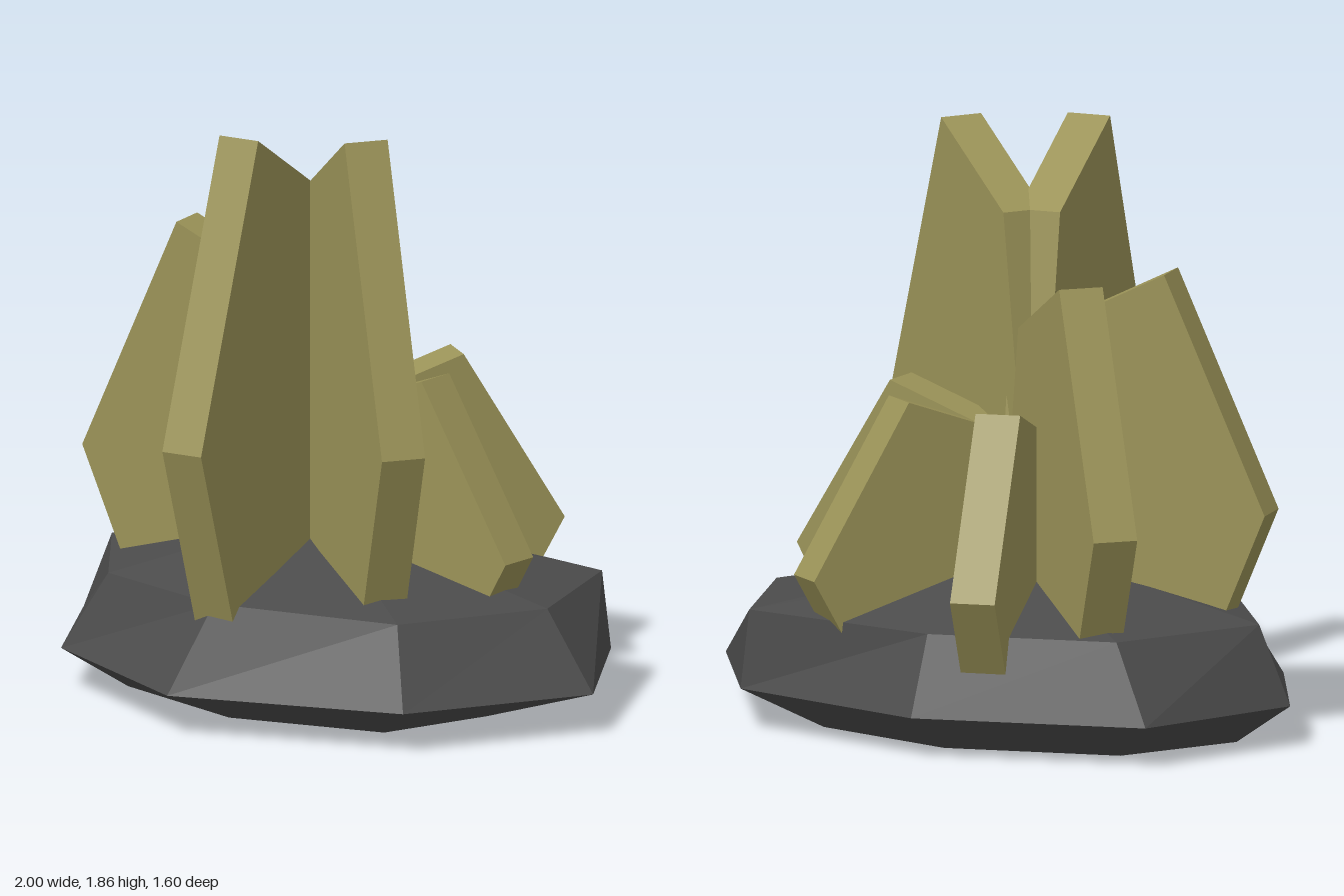
import * as THREE from 'three';

export function createModel() {
  const model = new THREE.Group();
  const stone = new THREE.MeshStandardMaterial({ color: 0x4b4b4b, flatShading: true });
  stone.name = 'dark stone';
  const olive = new THREE.MeshStandardMaterial({ color: 0x9b9358, flatShading: true });
  olive.name = 'olive crystal';

  // Rock: eight-sided cross-sections, [height, [x, z] pairs], bottom to top
  const rings = [
    [0, [[0.58, -0.02], [0.46, 0.35], [-0.05, 0.48], [-0.56, 0.33], [-0.81, -0.02], [-0.6, -0.4], [-0.05, -0.54], [0.45, -0.4]]],
    [0.13, [[1, -0.02], [0.69, 0.555], [-0.05, 0.8], [-0.71, 0.48], [-1, -0.02], [-0.78, -0.57], [-0.05, -0.76], [0.66, -0.56]]],
    [0.38, [[0.82, -0.02], [0.58, 0.44], [-0.05, 0.56], [-0.57, 0.42], [-0.89, -0.02], [-0.64, -0.5], [-0.05, -0.65], [0.64, -0.54]]],
    [0.52, [[0.15, -0.02], [0.1, 0.1], [-0.05, 0.15], [-0.2, 0.1], [-0.26, -0.02], [-0.2, -0.16], [-0.05, -0.22], [0.1, -0.16]]],
  ];
  const points = [];
  const at = (k, i) => [rings[k][1][i % 8][0], rings[k][0], rings[k][1][i % 8][1]];
  const triangle = (...corners) => corners.forEach((c) => points.push(...c));
  for (let i = 0; i < 8; i++) {
    for (let k = 0; k < 3; k++) {
      triangle(at(k, i), at(k + 1, i), at(k, i + 1));
      triangle(at(k, i + 1), at(k + 1, i), at(k + 1, i + 1));
    }
    triangle([-0.05, 0, -0.02], at(0, i), at(0, i + 1));
    triangle([-0.05, 0.52, -0.02], at(3, i + 1), at(3, i));
  }
  const rockGeometry = new THREE.BufferGeometry();
  rockGeometry.setAttribute('position', new THREE.Float32BufferAttribute(points, 3));
  rockGeometry.computeVertexNormals();
  const rock = new THREE.Mesh(rockGeometry, stone);
  rock.name = 'rockBase';
  model.add(rock);

  // Crystal slab profile: distance outward from its peak, fraction of its height
  const profile = [[0, 1], [-0.39, 0.87], [-0.5, 0.487], [-0.35, 0.08], [0.085, 0.08], [0.33, 0.487]];
  const thickness = 0.144;

  // Slabs fanning out from the middle: peak x, peak z, heading in degrees, height
  const slabs = [
    ['frontCrystal', -0.042, 0.44, 85.6, 1.855],
    ['frontLeftCrystal', 0.302, 0.235, 32, 1.855],
    ['leftCrystal', 0.38, -0.02, 0, 1.06],
    ['backLeftCrystal', 0.2, -0.37, -54, 1.06],
    ['backCrystal', -0.2, -0.463, -104, 1.06],
    ['backRightCrystal', -0.425, -0.333, -137.2, 1.46],
    ['rightCrystal', -0.535, 0.06, 169.6, 1.46],
  ];
  for (const [name, x, z, heading, height] of slabs) {
    const shape = new THREE.Shape(profile.map(([s, h]) => new THREE.Vector2(s, h * height)));
    const geometry = new THREE.ExtrudeGeometry(shape, { depth: thickness, bevelEnabled: false });
    geometry.translate(0, 0, -thickness / 2);
    const slab = new THREE.Mesh(geometry, olive);
    slab.name = name;
    slab.position.set(x, 0, z);
    slab.rotation.y = -THREE.MathUtils.degToRad(heading);
    model.add(slab);
  }
  return model;
}
